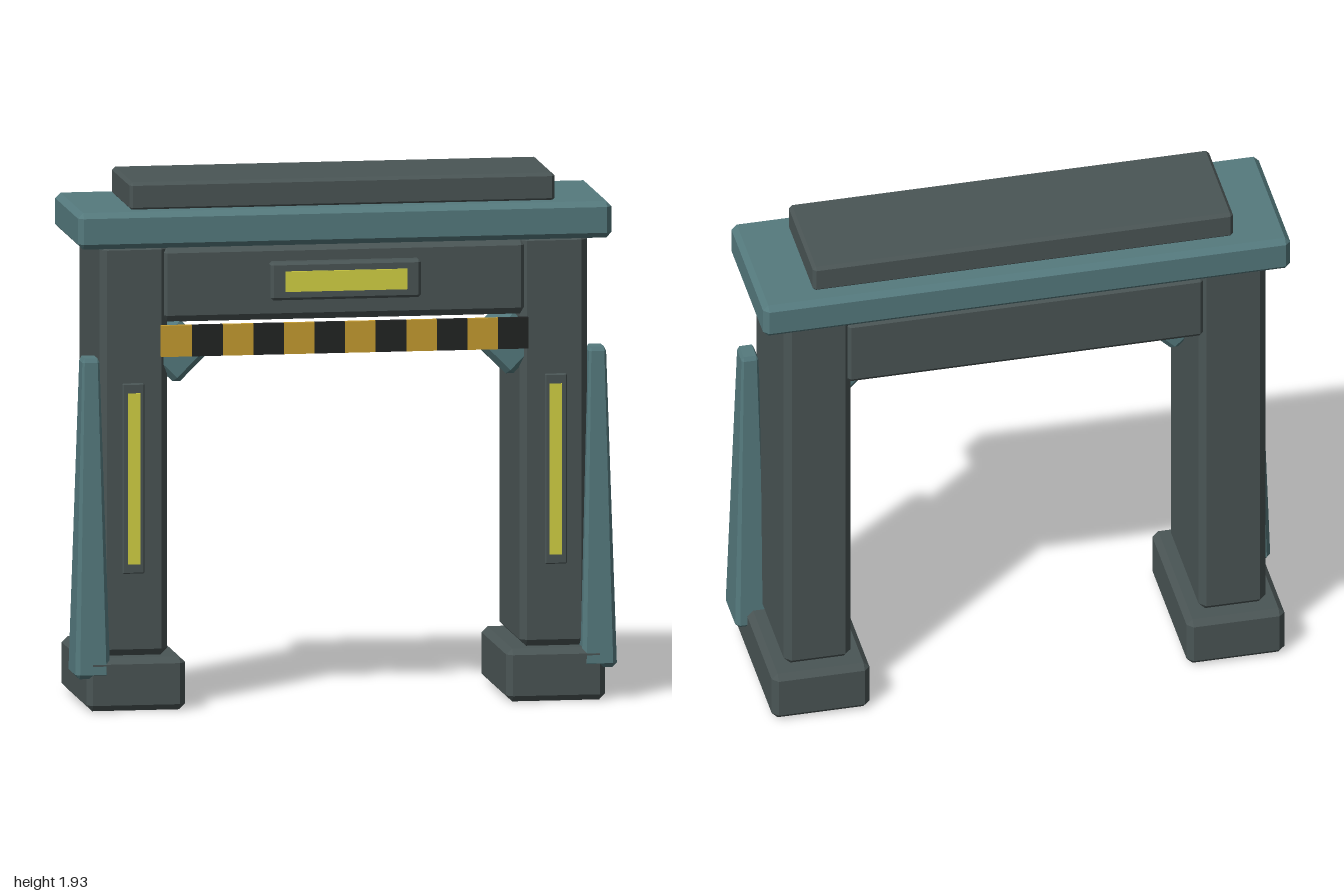
import * as THREE from 'three';
import { ConvexGeometry } from 'three/addons/geometries/ConvexGeometry.js';

const material = (name, color) => {
  const m = new THREE.MeshStandardMaterial({ color });
  m.name = name;
  return m;
};

// Box with chamfered edges; the top can be tapered in x and z
function chamferBox(w, h, d, c, topX = 1, topZ = 1) {
  const half = [w / 2, h / 2, d / 2];
  const points = [];
  for (const sx of [-1, 1]) for (const sy of [-1, 1]) for (const sz of [-1, 1]) {
    for (let axis = 0; axis < 3; axis++) {
      const [x, y, z] = [sx, sy, sz].map((s, i) => s * (half[i] - (i === axis ? 0 : c)));
      const t = y / h + 0.5;
      points.push(new THREE.Vector3(x * (1 + (topX - 1) * t), y, z * (1 + (topZ - 1) * t)));
    }
  }
  return new ConvexGeometry(points);
}

export function createModel() {
  const group = new THREE.Group();
  const grey = material('dark grey metal', 0x4a5555);
  const teal = material('teal metal', 0x557a7e);
  const yellow = material('yellow light', 0xd4d244);
  const amber = material('amber stripe', 0xc69c30);
  const black = material('black stripe', 0x222423);

  const add = (name, geometry, mat, x, y, z) => {
    const mesh = new THREE.Mesh(geometry, mat);
    mesh.name = name;
    mesh.position.set(x, y, z);
    group.add(mesh);
    return mesh;
  };

  // Everything that stands on both sides
  for (const s of [-1, 1]) {
    const side = s > 0 ? 'left' : 'right';
    add(side + 'Foot', chamferBox(0.365, 0.195, 0.61, 0.022), grey, s * 0.775, 0.0975, 0);
    add(side + 'Column', chamferBox(0.25, 1.52, 0.5, 0.025), grey, s * 0.775, 0.955, 0);
    add(side + 'Buttress', chamferBox(0.13, 1.175, 0.188, 0.016, 0.48, 0.46), teal, s * 0.935, 0.7075, 0.213);
    add(side + 'LampFrame', chamferBox(0.08, 0.7, 0.03, 0.004), grey, s * 0.78, 0.85, 0.25);
    add(side + 'Lamp', new THREE.BoxGeometry(0.045, 0.63, 0.009), yellow, s * 0.778, 0.85, 0.2655);
    const bracket = add(side + 'Bracket', chamferBox(0.18, 0.18, 0.235, 0.02), teal, s * 0.615, 1.313, 0.123);
    bracket.rotation.z = Math.PI / 4;
  }

  // Lintel, cap and roof slab
  add('lintel', chamferBox(1.355, 0.28, 0.502, 0.025), grey, 0, 1.56, 0);
  add('cap', chamferBox(1.97, 0.135, 0.56, 0.02), teal, 0, 1.765, 0);
  add('roofSlab', chamferBox(1.57, 0.105, 0.42, 0.012), grey, 0, 1.88, 0);

  // Lit panel over the opening
  add('panelFrame', chamferBox(0.555, 0.14, 0.055, 0.01), grey, 0, 1.568, 0.268);
  add('panelLight', new THREE.BoxGeometry(0.45, 0.075, 0.009), yellow, 0, 1.568, 0.3);

  // Hazard bar of alternating blocks
  const count = 12, width = 1.355 / count;
  for (let i = 0; i < count; i++) {
    add('hazardBlock' + (i + 1), new THREE.BoxGeometry(width, 0.115, 0.02),
      i % 2 ? black : amber, (i - (count - 1) / 2) * width, 1.354, 0.26);
  }
  return group;
}
